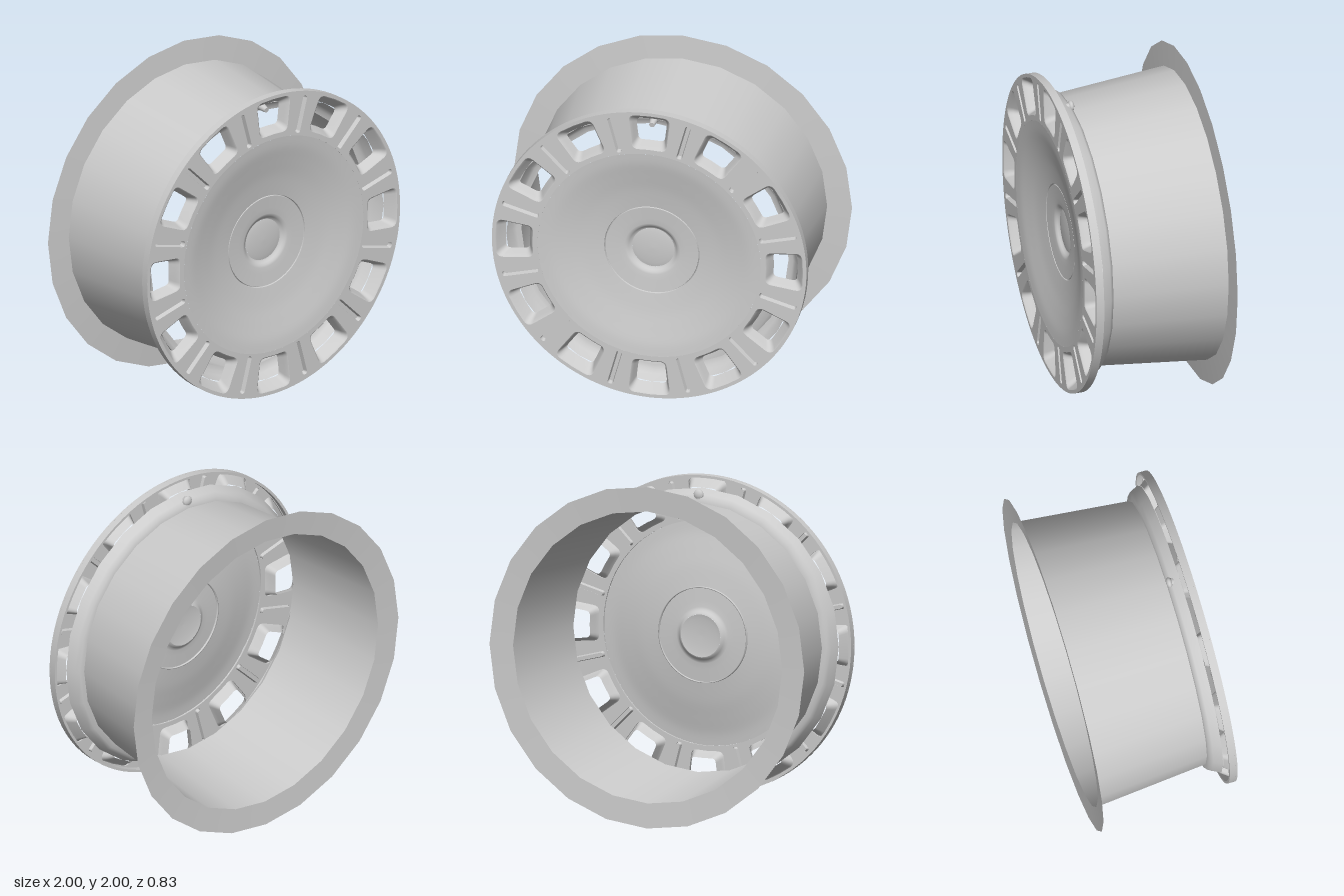
import * as THREE from 'three';

const material = new THREE.MeshStandardMaterial({ color: 0xcccccc, side: THREE.DoubleSide });

// Lathe around the wheel axis (z) from [radius, z] pairs
function ring(points, segments) {
  const profile = points.map(([r, z]) => new THREE.Vector2(r, z));
  return new THREE.LatheGeometry(profile, segments).rotateX(Math.PI / 2);
}

// Rounded trapezoid pointing along +y, counter-clockwise, with edges following the wheel's curve
function outline(halfIn, halfOut, r0, r1, corner) {
  const c = [[-halfIn, r0], [halfIn, r0], [halfOut, r1], [-halfOut, r1]]
    .map(([x, y]) => new THREE.Vector2(x, y));
  const points = [];
  c.forEach((p, i) => {
    const prev = c[(i + 3) % 4], next = c[(i + 1) % 4];
    const a = prev.clone().sub(p).setLength(corner).add(p);
    const b = next.clone().sub(p).setLength(corner).add(p);
    points.push(...new THREE.QuadraticBezierCurve(a, p, b).getPoints(5));
    points.push(p.clone().lerp(next, 0.5));
  });
  points.forEach((p) => { p.y -= (p.x * p.x) / (2 * p.y); });
  return points;
}

// Inward-facing wall through a stack of outlines, front to back
function wall(levels) {
  const n = levels[0].points.length, pos = [], index = [];
  levels.forEach(({ points, z }) => points.forEach((p) => pos.push(p.x, p.y, z)));
  for (let l = 0; l < levels.length - 1; l++) {
    for (let i = 0; i < n; i++) {
      const a = l * n + i, b = l * n + ((i + 1) % n);
      index.push(a, b, a + n, b, b + n, a + n);
    }
  }
  const g = new THREE.BufferGeometry();
  g.setAttribute('position', new THREE.Float32BufferAttribute(pos, 3));
  g.setIndex(index);
  g.computeVertexNormals();
  return g;
}

export function createModel() {
  const model = new THREE.Group();
  const wheel = new THREE.Group();
  wheel.name = 'wheel';
  wheel.position.y = 1;
  model.add(wheel);
  const add = (name, geometry, angle = 0) => {
    const mesh = new THREE.Mesh(geometry, material);
    mesh.name = name;
    mesh.rotation.z = angle;
    wheel.add(mesh);
    return mesh;
  };

  // Coarse-sided barrel with its flared ends
  add('rearFlange', ring([[1.0, -0.415], [0.855, -0.405]], 24));
  add('barrel', ring([[0.855, -0.405], [0.79, 0.27]], 24));
  add('frontLip', ring([[0.79, 0.27], [0.818, 0.275], [0.838, 0.295], [0.862, 0.345]], 24));

  // Face plate pierced by windows and slots
  const FRONT = 0.412, COUNT = 12, STEP = (Math.PI * 2) / COUNT;
  const windowMouth = outline(0.1, 0.125, 0.69, 0.91, 0.04);
  const slotMouth = outline(0.017, 0.017, 0.675, 0.9, 0.016);
  const plate = new THREE.Shape().absarc(0, 0, 0.93, 0, Math.PI * 2);
  plate.holes.push(new THREE.Path().absarc(0, 0, 0.66, 0, Math.PI * 2, true));
  const origin = new THREE.Vector2();
  const pierce = (points, angle) => plate.holes.push(
    new THREE.Path(points.map((p) => p.clone().rotateAround(origin, angle))));
  for (let k = 0; k < COUNT; k++) {
    pierce(windowMouth, k * STEP);
    pierce(slotMouth, (k + 0.5) * STEP);
  }
  const plateGeometry = new THREE.ExtrudeGeometry(plate,
    { depth: 0.01, bevelEnabled: false, curveSegments: 96 });
  add('facePlate', plateGeometry.translate(0, 0, FRONT - 0.01));

  // Outer band around the face
  add('outerBandSide', ring([[0.93, 0.365], [0.93, FRONT]], 96));
  add('outerBandBack', ring([[0.915, 0.365], [0.93, 0.365]], 96));
  add('outerBandInside', ring([[0.915, FRONT - 0.01], [0.915, 0.365]], 96));

  // Tapered window frames
  const windowWall = wall([
    { points: windowMouth, z: FRONT },
    { points: outline(0.094, 0.118, 0.696, 0.903, 0.038), z: 0.407 },
    { points: outline(0.088, 0.108, 0.706, 0.89, 0.035), z: 0.385 },
    { points: outline(0.076, 0.092, 0.722, 0.862, 0.028), z: 0.347 },
  ]);
  // Shallow closed slots
  const slotFloor = outline(0.011, 0.011, 0.682, 0.893, 0.01);
  const slotWall = wall([{ points: slotMouth, z: FRONT }, { points: slotFloor, z: 0.385 }]);
  const slotBase = new THREE.ShapeGeometry(new THREE.Shape(slotFloor)).translate(0, 0, 0.385);
  for (let k = 0; k < COUNT; k++) {
    add('windowFrame', windowWall, k * STEP);
    add('slotWall', slotWall, (k + 0.5) * STEP);
    add('slotFloor', slotBase, (k + 0.5) * STEP);
  }

  // Concave dish
  const dish = new THREE.SplineCurve([[0.282, 0.346], [0.4, 0.364], [0.5, 0.385], [0.59, 0.404], [0.66, FRONT]]
    .map(([r, z]) => new THREE.Vector2(r, z))).getPoints(20).map((p) => [p.x, p.y]);
  add('dish', ring(dish, 96));

  // Narrow seam around the centre cap
  add('capSeam', ring([[0.275, 0.345], [0.276, 0.335], [0.281, 0.335], [0.282, 0.346]], 96));

  // Centre cap with a soft circular recess
  add('centreCap', ring([[0.125, 0.31], [0.133, 0.313], [0.142, 0.323], [0.152, 0.332],
    [0.165, 0.336], [0.2, 0.339], [0.275, 0.345]], 96));
  add('centreButton', ring([[0, 0.32], [0.05, 0.319], [0.1, 0.315], [0.125, 0.31]], 64));

  // Air valve on the lip
  const stem = add('valveStem', new THREE.CylinderGeometry(0.016, 0.027, 0.075, 16).rotateX(Math.PI / 2));
  stem.position.set(0, 0.825, 0.31);
  stem.rotation.x = 0.15;
  const base = add('valveBase', new THREE.SphereGeometry(0.031, 16, 10).scale(1, 1, 0.6));
  base.position.set(0, 0.832, 0.283);

  return model;
}
